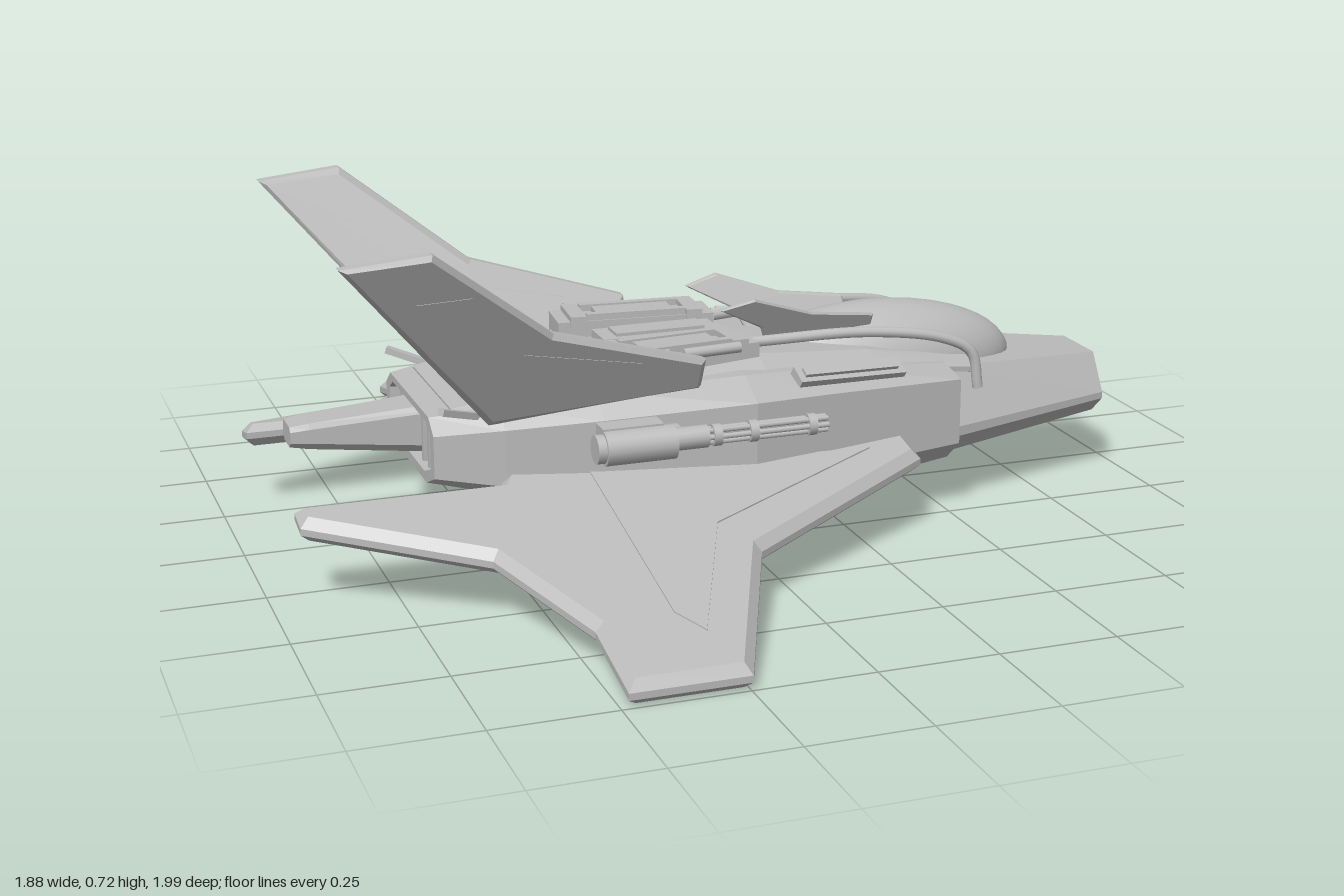
import * as THREE from 'three';
import { RoundedBoxGeometry } from 'three/addons/geometries/RoundedBoxGeometry.js';

export function createModel() {
  const ship = new THREE.Group();
  ship.name = 'starfighter';
  const grey = new THREE.MeshStandardMaterial({ color: 0xbcbcbc });
  grey.name = 'hullGrey';

  const add = (name, geo, parent = ship) => {
    const m = new THREE.Mesh(geo, grey);
    m.name = name;
    parent.add(m);
    return m;
  };
  const box = (name, size, pos, rot = [0, 0, 0], parent = ship) => {
    const m = add(name, new THREE.BoxGeometry(...size), parent);
    m.position.set(...pos);
    m.rotation.set(...rot);
    return m;
  };
  const rod = (name, r, len, pos, sides = 12, parent = ship) => {
    const m = add(name, new THREE.CylinderGeometry(r, r, len, sides).rotateZ(Math.PI / 2), parent);
    m.position.set(...pos);
    return m;
  };

  // Faceted loft along x through eight-sided sections:
  // [x, side half width, top half width, bottom half width, yBottom, ySideLow, ySideHigh, yTop]
  function loft(sections) {
    const rings = sections.map(([x, w, t, b, y0, y1, y2, y3]) => [
      [x, y3, -t], [x, y3, t], [x, y2, w], [x, y1, w],
      [x, y0, b], [x, y0, -b], [x, y1, -w], [x, y2, -w],
    ]);
    const pos = [];
    const tri = (...p) => p.forEach((v) => pos.push(...v));
    for (let i = 0; i < rings.length - 1; i++) {
      for (let j = 0; j < 8; j++) {
        const k = (j + 1) % 8, r = rings[i], q = rings[i + 1];
        tri(r[j], r[k], q[k]);
        tri(r[j], q[k], q[j]);
      }
    }
    const first = rings[0], last = rings[rings.length - 1];
    for (let j = 1; j < 7; j++) {
      tri(first[0], first[j + 1], first[j]);
      tri(last[0], last[j], last[j + 1]);
    }
    const g = new THREE.BufferGeometry();
    g.setAttribute('position', new THREE.Float32BufferAttribute(pos, 3));
    g.computeVertexNormals();
    return g;
  }

  // Flat outline with chamfered rim, centred on its own thickness
  function slab(points, thick, bevel) {
    const g = new THREE.ExtrudeGeometry(new THREE.Shape(points.map((p) => new THREE.Vector2(...p))), {
      depth: thick - 2 * bevel, bevelEnabled: bevel > 0, bevelSegments: 1,
      bevelThickness: bevel, bevelSize: bevel, bevelOffset: -bevel,
    });
    return g.translate(0, 0, bevel - thick / 2);
  }
  function shear(g, rule) {
    const p = g.attributes.position;
    for (let i = 0; i < p.count; i++) rule(p, i);
    g.computeVertexNormals();
    return g;
  }

  // Main hull, with a recessed engine bay at the rear
  add('hull', loft([
    [-0.55, 0.17, 0.14, 0.11, 0.205, 0.225, 0.29, 0.31],
    [-0.64, 0.18, 0.15, 0.12, 0.2, 0.22, 0.295, 0.315],
    [-0.64, 0.21, 0.17, 0.14, 0.18, 0.21, 0.3, 0.33],
    [-0.5, 0.25, 0.21, 0.17, 0.15, 0.19, 0.31, 0.345],
    [-0.3, 0.285, 0.23, 0.2, 0.11, 0.17, 0.32, 0.365],
    [0.02, 0.325, 0.25, 0.24, 0.09, 0.16, 0.335, 0.375],
    [0.2, 0.3, 0.225, 0.23, 0.09, 0.16, 0.33, 0.365],
    [0.52, 0.25, 0.17, 0.19, 0.12, 0.17, 0.315, 0.33],
  ]));

  // Tapered nose ending in a hollow intake
  add('nose', loft([
    [0.5, 0.237, 0.17, 0.18, 0.125, 0.178, 0.2, 0.322],
    [0.94, 0.12, 0.07, 0.075, 0.15, 0.19, 0.205, 0.287],
    [0.94, 0.105, 0.058, 0.062, 0.16, 0.192, 0.203, 0.275],
    [0.89, 0.1, 0.055, 0.06, 0.163, 0.193, 0.202, 0.27],
  ]));
  for (let i = -4; i <= 4; i++) {
    box('intakeBar', [0.02, 0.108 - Math.abs(i) * 0.014, 0.008], [0.9, 0.212, i * 0.02]);
  }

  // Rear bay dividers and tail boom
  for (const z of [-0.12, -0.07, 0.07, 0.12]) box('engineDivider', [0.07, 0.1, 0.014], [-0.595, 0.255, z]);
  add('tailBoom', loft([
    [-0.9, 0.04, 0.032, 0.026, 0.25, 0.262, 0.285, 0.295],
    [-0.86, 0.042, 0.036, 0.03, 0.243, 0.258, 0.288, 0.3],
    [-0.5, 0.065, 0.05, 0.045, 0.2, 0.22, 0.31, 0.325],
  ]));

  // Raised upper deck and the fairing behind the cockpit
  add('upperDeck', loft([
    [-0.59, 0.19, 0.16, 0.17, 0.3, 0.32, 0.33, 0.34],
    [-0.3, 0.225, 0.19, 0.2, 0.32, 0.34, 0.365, 0.385],
    [0.08, 0.22, 0.17, 0.2, 0.32, 0.34, 0.37, 0.395],
    [0.35, 0.19, 0.14, 0.17, 0.31, 0.33, 0.345, 0.37],
    [0.6, 0.16, 0.11, 0.14, 0.29, 0.3, 0.31, 0.325],
  ]));
  box('deckBlock', [0.265, 0.05, 0.09], [-0.09, 0.395, 0]);
  box('deckBlockPlate', [0.2, 0.008, 0.06], [-0.09, 0.423, 0]);

  // Cockpit dome
  const dome = add('canopy', new THREE.SphereGeometry(1, 40, 24));
  dome.scale.set(0.335, 0.14, 0.135);
  dome.position.set(0.415, 0.298, 0);

  // Rear deck hatch with frame and capsule
  const hatch = new THREE.Group();
  hatch.name = 'rearHatch';
  hatch.position.set(-0.422, 0.372, 0);
  hatch.rotation.z = 0.13;
  ship.add(hatch);
  box('hatchBase', [0.21, 0.03, 0.28], [0, -0.01, 0], [0, 0, 0], hatch);
  for (const s of [-1, 1]) {
    box('hatchRail', [0.025, 0.02, 0.28], [s * 0.0925, 0.012, 0], [0, 0, 0], hatch);
    box('hatchEnd', [0.16, 0.014, 0.016], [0, 0.01, s * 0.13], [0, 0, 0], hatch);
  }
  const capsule = add('hatchCapsule', new RoundedBoxGeometry(0.115, 0.03, 0.055, 3, 0.014), hatch);
  capsule.position.set(-0.01, 0.012, -0.083);

  const wingOutline = [[-0.94, 0.27], [-0.94, 0.33], [-0.605, 0.527], [-0.485, 0.8], [-0.485, 0.997],
    [-0.246, 0.997], [-0.08, 0.61], [0.385, 0.342], [0.385, 0.24], [0.2, 0.2], [-0.48, 0.2], [-0.52, 0.27]];
  const wingPanel = [[-0.33, 0.28], [-0.33, 0.8], [-0.29, 0.87], [-0.14, 0.52], [0.28, 0.31]];
  const finOutline = [[-0.53, 0.32], [-0.865, 0.72], [-0.685, 0.737], [-0.42, 0.53], [-0.08, 0.43], [-0.08, 0.355]];
  const finPanel = [[-0.49, 0.37], [-0.71, 0.63], [-0.6, 0.635], [-0.48, 0.49], [-0.22, 0.44], [-0.22, 0.395]];
  const canardOutline = [[0.015, 0.48], [0.09, 0.5], [0.23, 0.453], [0.38, 0.435], [0.38, 0.38], [0.14, 0.38], [0.12, 0.425]];

  for (const s of [-1, 1]) {
    const side = new THREE.Group();
    side.name = s > 0 ? 'leftSide' : 'rightSide';
    ship.add(side);

    // Drooping wing and its raised panel
    const wing = (pts, thick, bevel, lift) => shear(
      slab(pts.map(([x, z]) => [x, z * s]), thick, bevel).rotateX(Math.PI / 2),
      (p, i) => p.setY(i, p.getY(i) + lift + 0.185 - 0.207 * (Math.abs(p.getZ(i)) - 0.28)));
    add('wing', wing(wingOutline, 0.05, 0.018, 0), side);
    add('wingPanel', wing(wingPanel, 0.006, 0, 0.025), side);

    // Fins leaning outward
    const fin = (pts, thick, bevel, z0, y0, lean) => shear(slab(pts, thick, bevel),
      (p, i) => p.setZ(i, p.getZ(i) + s * (z0 + lean * (p.getY(i) - y0))));
    add('tailFin', fin(finOutline, 0.048, 0.012, 0.25, 0.38, 0.49), side);
    add('tailFinPanel', fin(finPanel, 0.054, 0, 0.25, 0.38, 0.49), side);
    add('canopyFin', fin(canardOutline, 0.016, 0.004, 0.08, 0.42, 0.5), side);

    // Coolant pipe curving down beside the cockpit
    const path = new THREE.CatmullRomCurve3([[0.08, 0.405, 0.115], [0.35, 0.41, 0.145], [0.52, 0.385, 0.167],
      [0.58, 0.35, 0.175], [0.595, 0.27, 0.18]].map(([x, y, z]) => new THREE.Vector3(x, y, z * s)));
    add('pipe', new THREE.TubeGeometry(path, 32, 0.012, 10), side);

    // Angled deck engine with tray, ribs and twin cylinders
    const engine = new THREE.Group();
    engine.name = 'deckEngine';
    engine.position.set(-0.1, 0.4, s * 0.143);
    engine.rotation.y = s * 0.09;
    side.add(engine);
    box('engineTray', [0.35, 0.045, 0.105], [0, 0, 0], [0, 0, 0], engine);
    for (const k of [-1, 1]) {
      box('engineRail', [0.22, 0.02, 0.018], [0, 0.027, k * 0.04], [0, 0, 0], engine);
      box('engineCollar', [0.035, 0.025, 0.115], [k * 0.13, 0.022, 0], [0, 0, 0], engine);
    }
    box('engineCover', [0.17, 0.015, 0.05], [0, 0.027, 0], [0, 0, 0], engine);
    rod('engineCylinder', 0.016, 0.1, [-0.09, 0.02, s * 0.062], 12, engine);
    rod('engineCylinder', 0.012, 0.13, [0.06, 0.02, s * 0.06], 12, engine);

    // Shoulder vent, side seam strip and rear rod
    box('shoulderVent', [0.26, 0.022, 0.045], [0.257, 0.355, s * 0.247], [s * 0.55, s * 0.1, -0.13], side);
    box('ventSlat', [0.23, 0.008, 0.022], [0.258, 0.368, s * 0.254], [s * 0.55, s * 0.1, -0.13], side);
    box('rearRod', [0.13, 0.014, 0.018], [-0.575, 0.342, s * 0.215], [0, s * 0.45, -0.3], side);
    box('bellyRail', [0.22, 0.015, 0.03], [0.12, 0.087, s * 0.14], [0, 0, 0], side);
  }

  // Rotary gun on the left flank only
  const gun = new THREE.Group();
  gun.name = 'rotaryGun';
  gun.position.set(0, 0.285, 0.355);
  ship.add(gun);
  rod('gunHousing', 0.036, 0.15, [-0.25, 0, 0], 16, gun);
  rod('gunBackCap', 0.03, 0.02, [-0.333, 0, 0], 16, gun);
  box('gunAmmoBox', [0.13, 0.07, 0.05], [-0.26, 0.005, -0.025], [0, 0, 0], gun);
  box('gunMount', [0.1, 0.04, 0.08], [-0.2, 0, -0.05], [0, 0, 0], gun);
  rod('gunNeck', 0.024, 0.08, [-0.14, 0, -0.01], 16, gun);
  for (let i = 0; i < 6; i++) {
    const a = (i * Math.PI) / 3;
    rod('gunBarrel', 0.006, 0.27, [0.03, 0.014 * Math.sin(a), -0.01 + 0.014 * Math.cos(a)], 8, gun);
  }
  for (const x of [-0.08, 0.0, 0.13]) rod('gunBand', 0.023, 0.018, [x, 0, -0.01], 16, gun);

  return ship;
}
